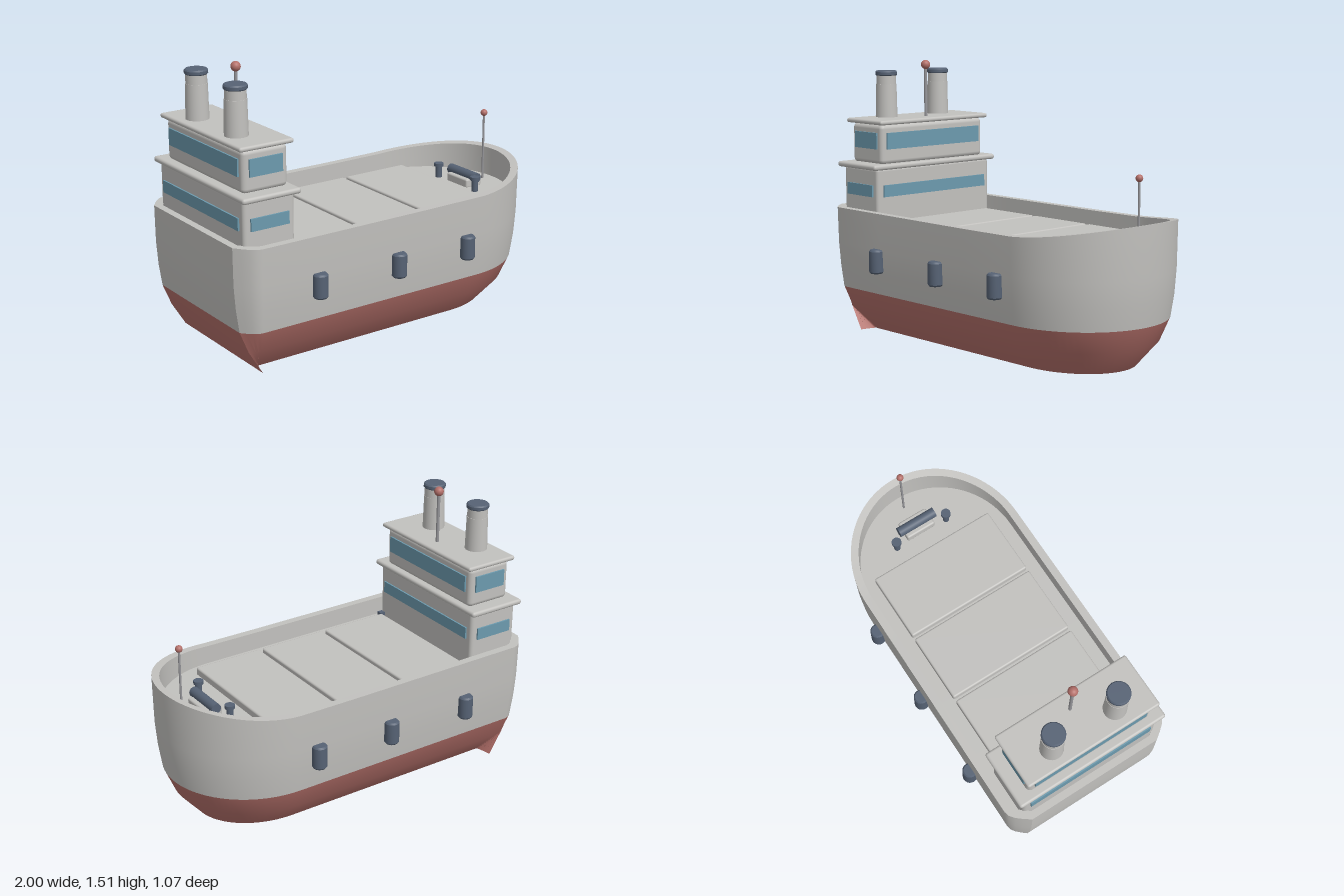
import * as THREE from 'three';
import { toCreasedNormals } from 'three/addons/utils/BufferGeometryUtils.js';
import { RoundedBoxGeometry } from 'three/addons/geometries/RoundedBoxGeometry.js';

const mat = (name, color, side = THREE.FrontSide) => {
  const m = new THREE.MeshStandardMaterial({ color, side });
  m.name = name;
  return m;
};

// Half outline from the bow round to the stern corner, then mirrored into a ring
function ring({ y, hw, stern, side, shoulder, bow, corner = 0.39 }) {
  const half = [];
  const add = (x, z) => half.push([x, typeof y === 'function' ? y(x) : y, z]);
  for (let i = 0; i <= 20; i++) {
    const a = (i / 20) * Math.PI / 2;
    add(shoulder + (bow - shoulder) * Math.cos(a), hw * Math.sin(a));
  }
  for (const t of [0.25, 0.5, 0.75]) add(shoulder + (side - shoulder) * t, hw);
  for (let i = 4; i >= 0; i--) {
    const t = i / 4;
    add(stern + (side - stern) * t, corner + (hw - corner) * Math.sin(t * Math.PI / 2));
  }
  const mirror = half.map(([x, h, z]) => [x, h, -z]);
  return { half, mirror, all: [...half, ...mirror.slice(1).reverse()] };
}

// Skin rings together, with an optional cap under the first or over the last
function loft(rings, { capBottom = false, capTop = false } = {}) {
  const pos = [];
  const tri = (a, b, c) => pos.push(...a, ...b, ...c);
  for (let k = 0; k + 1 < rings.length; k++) {
    const lo = rings[k].all, up = rings[k + 1].all;
    for (let i = 0; i < lo.length; i++) {
      const j = (i + 1) % lo.length;
      tri(lo[i], up[i], up[j]);
      tri(lo[i], up[j], lo[j]);
    }
  }
  const cap = ({ half: h, mirror: m }, flip) => {
    for (let i = 0; i + 1 < h.length; i++) {
      const faces = [[h[i], m[i], m[i + 1]], [h[i], m[i + 1], h[i + 1]]];
      for (const [a, b, c] of faces) flip ? tri(a, c, b) : tri(a, b, c);
    }
  };
  if (capBottom) cap(rings[0], true);
  if (capTop) cap(rings[rings.length - 1], false);
  const g = new THREE.BufferGeometry();
  g.setAttribute('position', new THREE.Float32BufferAttribute(pos, 3));
  return toCreasedNormals(g, 0.5);
}

export function createModel() {
  const ship = new THREE.Group();
  ship.name = 'cargoShip';
  const grey = mat('paintGrey', 0xc2c1be);
  const red = mat('hullRed', 0xb4706a);
  const slate = mat('slate', 0x566274);
  const glass = mat('windowGlass', 0x6c9aae);
  const metal = mat('poleMetal', 0x96969a);

  const add = (name, geo, material, x = 0, y = 0, z = 0) => {
    const m = new THREE.Mesh(geo, material);
    m.name = name;
    m.position.set(x, y, z);
    ship.add(m);
    return m;
  };
  // Rounded box given by its limits in x and y and its half width in z
  const block = (name, x0, x1, y0, y1, hz, r, material) =>
    add(name, new RoundedBoxGeometry(x1 - x0, y1 - y0, hz * 2, 2, r), material, (x0 + x1) / 2, (y0 + y1) / 2, 0);
  const cyl = (rt, rb, h, n = 24) => new THREE.CylinderGeometry(rt, rb, h, n);

  // Hull: red below the waterline, grey above, with a hollow bulwark
  const sheer = x => 0.7 + 0.07 * Math.pow(Math.max(0, (x - 0.4) / 0.6), 1.8);
  const waterline = ring({ y: 0.25, hw: 0.46, stern: -0.97, side: -0.88, shoulder: 0.48, bow: 0.97 });
  add('lowerHull', loft([
    ring({ y: 0, hw: 0.3, stern: -0.84, side: -0.815, shoulder: 0.43, bow: 0.81 }),
    ring({ y: 0.13, hw: 0.412, stern: -0.92, side: -0.86, shoulder: 0.46, bow: 0.92 }),
    waterline,
  ], { capBottom: true }), red);
  const inner = { hw: 0.447, stern: -0.96, side: -0.87, shoulder: 0.49, bow: 0.96, corner: 0.37 };
  const deckY = 0.6;
  add('upperHull', loft([
    waterline,
    ring({ y: 0.37, hw: 0.475, stern: -0.988, side: -0.885, shoulder: 0.49, bow: 0.987 }),
    ring({ y: 0.5, hw: 0.484, stern: -0.998, side: -0.89, shoulder: 0.49, bow: 0.997 }),
    ring({ y: sheer, hw: 0.49, stern: -1, side: -0.89, shoulder: 0.49, bow: 1 }),
    ring({ y: sheer, ...inner }),
    ring({ y: deckY, ...inner }),
  ], { capTop: true }), grey);

  // Cargo hatches
  for (const [x0, x1] of [[-0.625, -0.23], [-0.21, 0.185], [0.205, 0.6]])
    block('hatchCover', x0, x1, deckY - 0.01, 0.64, 0.37, 0.01, grey);

  // Deckhouse: two storeys with overhanging roofs
  block('lowerCabin', -0.945, -0.65, deckY - 0.01, 0.93, 0.41, 0.02, grey);
  block('lowerRoof', -0.965, -0.63, 0.92, 0.95, 0.444, 0.014, grey);
  block('upperCabin', -0.92, -0.66, 0.945, 1.165, 0.37, 0.025, grey);
  block('upperRoof', -0.945, -0.635, 1.165, 1.19, 0.392, 0.012, grey);

  // Window bands on all four sides of each storey
  const windows = [
    { y0: 0.77, y1: 0.835, x0: -0.945, x1: -0.65, hz: 0.41, wx: 0.22, wz: 0.74 },
    { y0: 1.03, y1: 1.12, x0: -0.92, x1: -0.66, hz: 0.37, wx: 0.19, wz: 0.67 },
  ];
  for (const { y0, y1, x0, x1, hz, wx, wz } of windows) {
    const y = (y0 + y1) / 2, h = y1 - y0, t = 0.009;
    for (const x of [x0 - t / 2, x1 + t / 2]) add('endWindow', new THREE.BoxGeometry(t, h, wz), glass, x, y, 0);
    for (const s of [-1, 1])
      add('sideWindow', new THREE.BoxGeometry(wx, h, t), glass, (x0 + x1) / 2, y, s * (hz + t / 2));
  }

  // Twin funnels with dark caps
  const capProfile = [[0, 0], [0.056, 0], [0.061, 0.005], [0.061, 0.02], [0.055, 0.027], [0, 0.027]]
    .map(p => new THREE.Vector2(...p));
  for (const z of [-0.188, 0.188]) {
    add('funnelBase', cyl(0.057, 0.061, 0.19), grey, -0.84, 1.28, z);
    add('funnelTop', cyl(0.055, 0.055, 0.06), grey, -0.84, 1.395, z);
    add('funnelCap', toCreasedNormals(new THREE.LatheGeometry(capProfile, 24), 0.5), slate, -0.84, 1.422, z);
  }

  // Masts with ball tops
  for (const [name, x, y0, y1, r, ball] of [
    ['mainMast', -0.722, 1.18, 1.48, 0.009, 0.026],
    ['bowMast', 0.895, deckY, 0.985, 0.006, 0.019],
  ]) {
    add(name, cyl(r, r, y1 - y0, 12), metal, x, (y0 + y1) / 2, 0);
    add(name + 'Ball', new THREE.SphereGeometry(ball, 20, 14), red, x, y1, 0);
  }

  // Fenders along both sides
  const fenderProfile = [[0, -0.065], [0.033, -0.065], [0.04, -0.056], [0.04, 0.056], [0.033, 0.065], [0, 0.065]]
    .map(p => new THREE.Vector2(...p));
  const fender = toCreasedNormals(new THREE.LatheGeometry(fenderProfile, 20), 0.6);
  for (const x of [-0.56, -0.07, 0.382])
    for (const s of [-1, 1]) add('fender', fender, slate, x, 0.44, s * 0.495);

  // Winch and bollards on the foredeck
  block('winchBase', 0.705, 0.812, deckY - 0.005, 0.645, 0.088, 0.01, grey);
  add('winchDrum', cyl(0.028, 0.028, 0.23), slate, 0.758, 0.653, 0).rotation.x = Math.PI / 2;
  for (const z of [-0.16, 0.16]) {
    add('bollardPost', cyl(0.018, 0.018, 0.07, 16), slate, 0.705, deckY + 0.035, z);
    add('bollardCap', cyl(0.027, 0.027, 0.018, 16), slate, 0.705, deckY + 0.074, z);
  }

  // Small deck locker beside the cabin
  add('deckLocker', new THREE.BoxGeometry(0.03, 0.045, 0.03), slate, -0.628, deckY + 0.022, 0.378);
  return ship;
}
